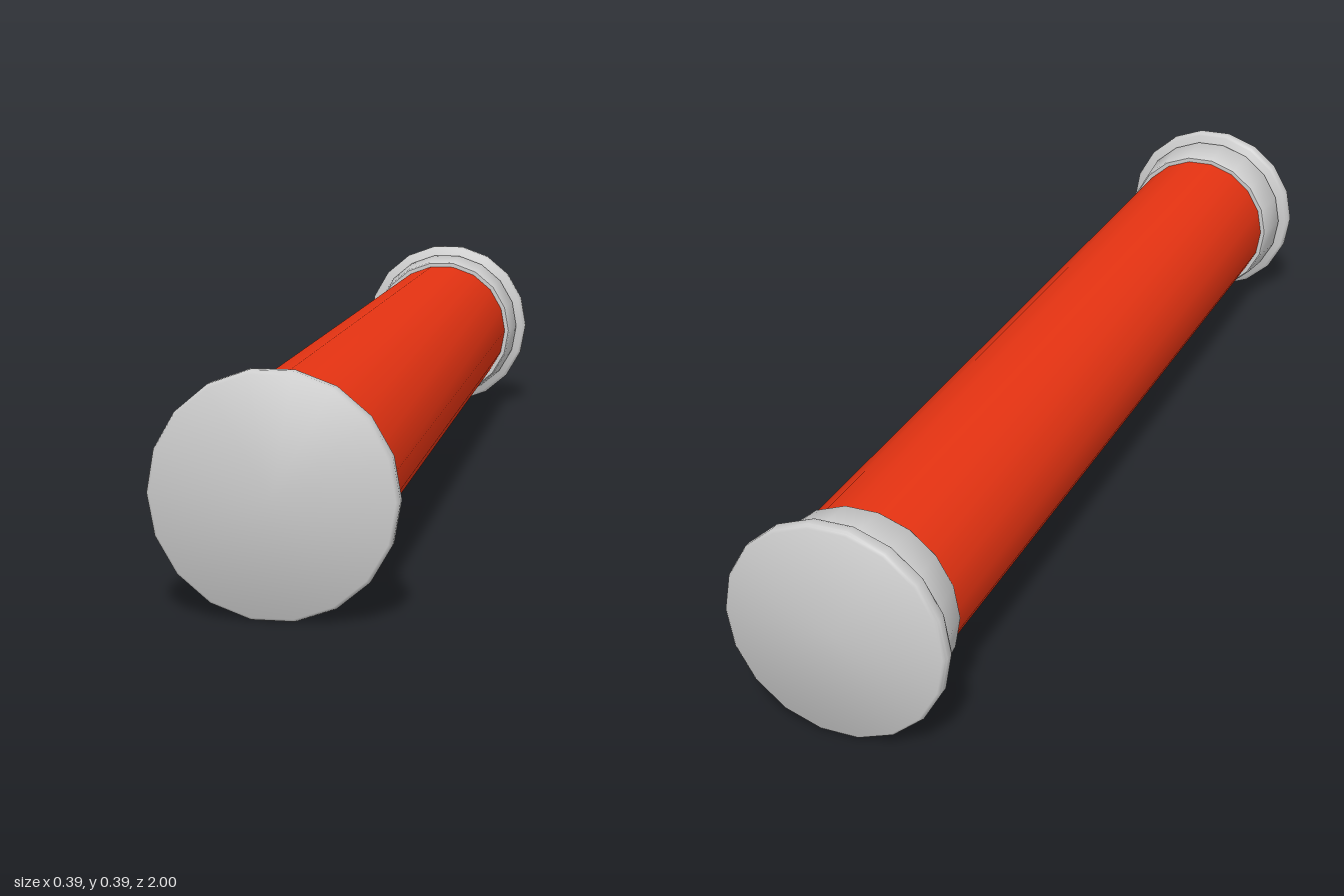
import * as THREE from 'three';
import { toCreasedNormals } from 'three/addons/utils/BufferGeometryUtils.js';

const SIDES = 18;
const CENTRE_Y = 0.194;

// Turned part along z, from [radius, z] pairs running towards +z
function turned(name, profile, color) {
  const points = profile.map(([r, z]) => new THREE.Vector2(r, z));
  const lathe = new THREE.LatheGeometry(points, SIDES, Math.PI / 2);
  lathe.rotateX(Math.PI / 2);
  const mesh = new THREE.Mesh(
    toCreasedNormals(lathe, 0.7),
    new THREE.MeshStandardMaterial({ color })
  );
  mesh.name = name;
  return mesh;
}

// End cap: tapered collar with a rounded flange
function endCap(name) {
  const cap = new THREE.Group();
  cap.name = name;
  cap.add(
    turned('collar', [
      [0.15, 0.877], [0.165, 0.877], [0.168, 0.881],
      [0.176, 0.962], [0.173, 0.969], [0.15, 0.972]
    ], 0xcccccc),
    turned('flange', [
      [0, 0.97], [0.191, 0.97], [0.195, 0.973], [0.197, 0.978],
      [0.197, 0.992], [0.195, 0.997], [0.191, 1], [0, 1]
    ], 0xcccccc)
  );
  return cap;
}

export function createModel() {
  const model = new THREE.Group();
  model.name = 'cappedTube';

  // Long red tube
  model.add(turned('tube', [[0, -0.97], [0.156, -0.97], [0.156, 0.97], [0, 0.97]], 0xe63312));

  // Matching caps at both ends
  const back = endCap('backCap');
  back.rotation.y = Math.PI;
  model.add(endCap('frontCap'), back);

  for (const part of model.children) part.position.y = CENTRE_Y;
  return model;
}
